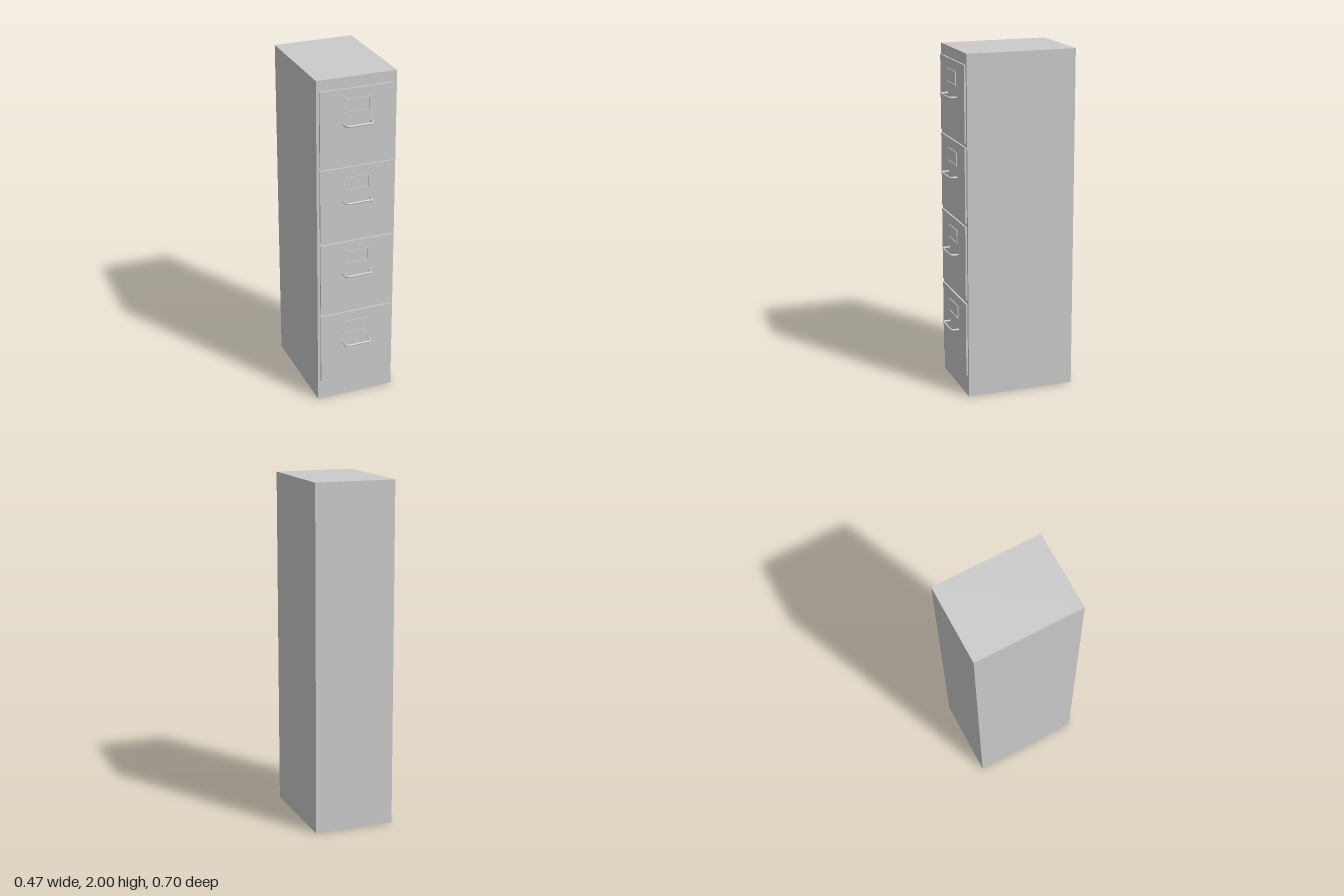
import * as THREE from 'three';

const material = new THREE.MeshStandardMaterial({ color: 0xcccccc });

function addBox(parent, name, [w, h, d], [x, y, z]) {
  const mesh = new THREE.Mesh(new THREE.BoxGeometry(w, h, d), material);
  mesh.name = name;
  mesh.position.set(x, y, z);
  parent.add(mesh);
}

// Round bar bent into a U, with rounded corners and its ends in the drawer front
function handleGeometry() {
  const v = (x, z) => new THREE.Vector3(x, 0, z);
  const x = 0.08, z = 0.344, r = 0.02;
  const path = new THREE.CurvePath();
  path.add(new THREE.LineCurve3(v(-x - 0.001, 0.298), v(-x, z - r)));
  path.add(new THREE.QuadraticBezierCurve3(v(-x, z - r), v(-x, z), v(-x + r, z)));
  path.add(new THREE.LineCurve3(v(-x + r, z), v(x - r, z)));
  path.add(new THREE.QuadraticBezierCurve3(v(x - r, z), v(x, z), v(x, z - r)));
  path.add(new THREE.LineCurve3(v(x, z - r), v(x + 0.001, 0.298)));
  return new THREE.TubeGeometry(path, 64, 0.006, 12);
}

export function createModel() {
  const model = new THREE.Group();
  model.name = 'filingCabinet';

  // Cabinet body
  addBox(model, 'cabinetBody', [0.47, 2, 0.64], [0, 1, -0.03]);

  // Four identical drawers, origin at the bottom of each front
  const handle = handleGeometry();
  for (let i = 0; i < 4; i++) {
    const drawer = new THREE.Group();
    drawer.name = `drawer${i + 1}`;
    drawer.position.y = 0.127 + i * 0.458;
    addBox(drawer, 'drawerFront', [0.436, 0.436, 0.014], [0, 0.218, 0.293]);

    // Label holder: two rails and an end stop, open at one side
    addBox(drawer, 'labelRailTop', [0.152, 0.006, 0.008], [0, 0.375, 0.301]);
    addBox(drawer, 'labelRailBottom', [0.152, 0.006, 0.008], [0, 0.301, 0.301]);
    addBox(drawer, 'labelEndStop', [0.006, 0.08, 0.008], [0.073, 0.338, 0.301]);

    const pull = new THREE.Mesh(handle, material);
    pull.name = 'handle';
    pull.position.y = 0.235;
    drawer.add(pull);
    model.add(drawer);
  }
  return model;
}
